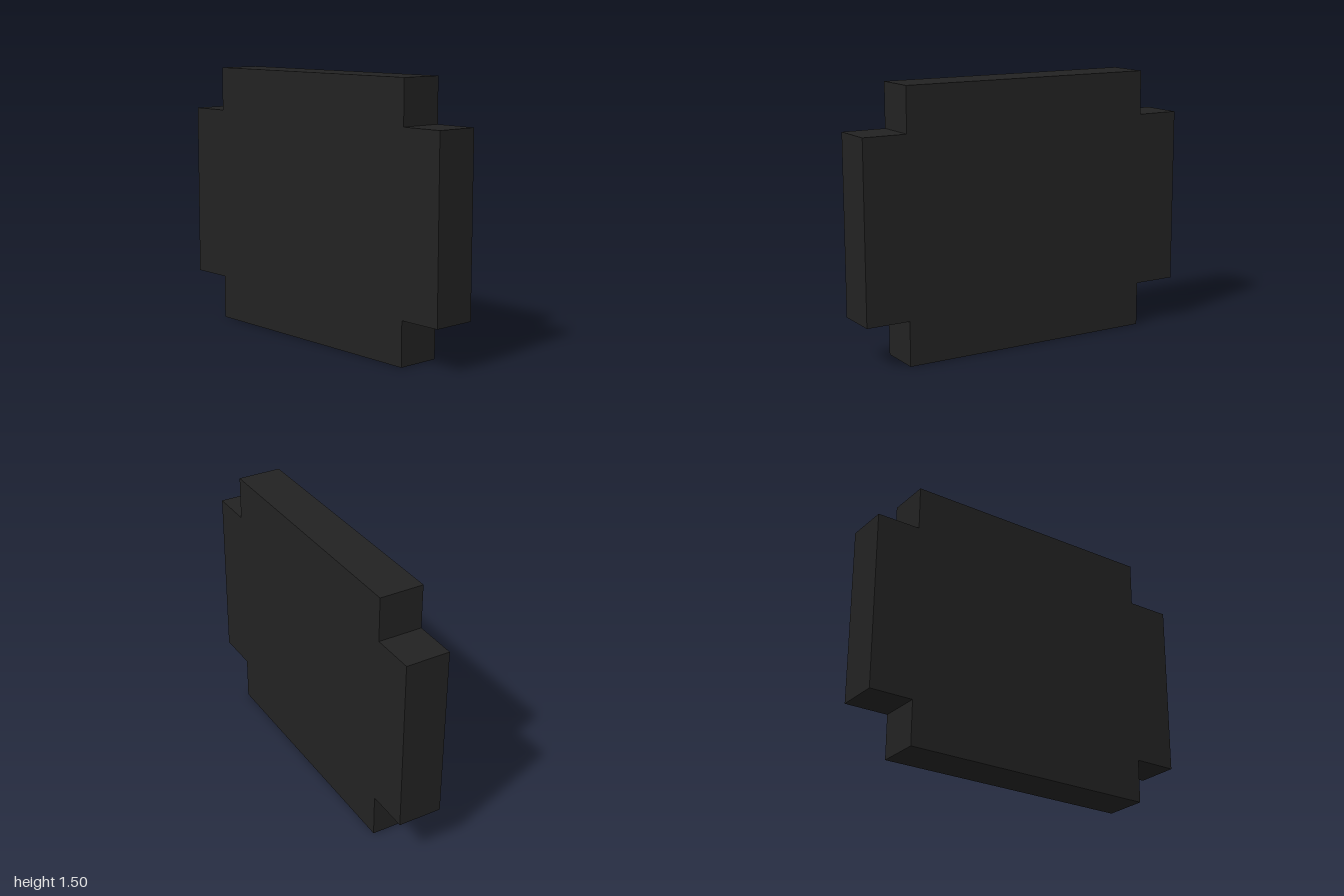
import * as THREE from 'three';

export function createModel() {
  const group = new THREE.Group();
  group.name = 'notchedPlate';

  const black = new THREE.MeshStandardMaterial({ color: 0x222222 });
  black.name = 'matte black';

  // Outline of the slab: a rectangle with a square notch at each corner
  const halfWidth = 1, height = 1.5, notch = 0.25, depth = 0.25;
  const inner = halfWidth - notch;
  const outline = new THREE.Shape([
    [-inner, 0], [inner, 0], [inner, notch], [halfWidth, notch],
    [halfWidth, height - notch], [inner, height - notch], [inner, height],
    [-inner, height], [-inner, height - notch], [-halfWidth, height - notch],
    [-halfWidth, notch], [-inner, notch],
  ].map(([x, y]) => new THREE.Vector2(x, y)));

  // Solid slab, centred in depth
  const geometry = new THREE.ExtrudeGeometry(outline, { depth, bevelEnabled: false });
  geometry.translate(0, 0, -depth / 2);
  const plate = new THREE.Mesh(geometry, black);
  plate.name = 'plate';
  group.add(plate);

  return group;
}
